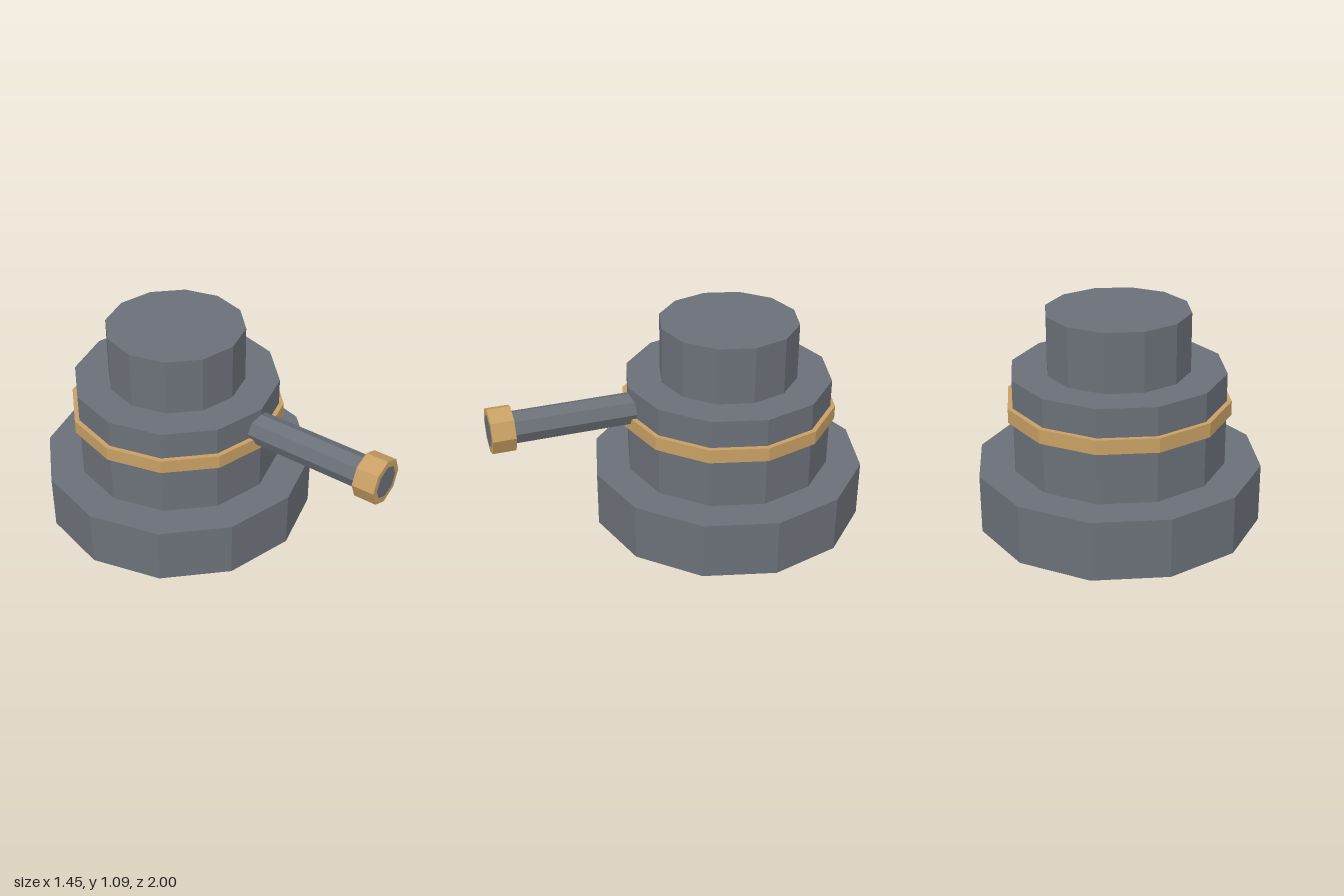
import * as THREE from 'three';

export function createModel() {
  const model = new THREE.Group();
  const mat = (name, color) => {
    const m = new THREE.MeshStandardMaterial({ color, flatShading: true });
    m.name = name;
    return m;
  };
  const steel = mat('steel grey', 0x6b7078);
  const brass = mat('brass', 0xc8a064);
  const axisZ = -0.273;
  const barrelY = 0.67;

  // Upright twelve-sided tier between two heights
  function tier(name, radius, y0, y1, material) {
    const mesh = new THREE.Mesh(new THREE.CylinderGeometry(radius, radius, y1 - y0, 12), material);
    mesh.name = name;
    mesh.position.set(0, (y0 + y1) / 2, axisZ);
    model.add(mesh);
  }

  // Eight-sided rod lying along z
  function rod(name, radius, z0, z1, material) {
    const geometry = new THREE.CylinderGeometry(radius, radius, z1 - z0, 8).rotateX(Math.PI / 2);
    const mesh = new THREE.Mesh(geometry, material);
    mesh.name = name;
    mesh.position.set(0, barrelY, (z0 + z1) / 2);
    model.add(mesh);
  }

  // Stepped turret
  tier('base', 0.727, 0, 0.303, steel);
  tier('drum', 0.545, 0.303, 0.788, steel);
  tier('drumBand', 0.57, 0.57, 0.643, brass);
  tier('cap', 0.364, 0.788, 1.09, steel);

  // Barrel, its end showing inside the muzzle collar
  rod('barrel', 0.085, 0, 1, steel);
  rod('muzzleCollar', 0.12, 0.88, 0.998, brass);

  return model;
}
